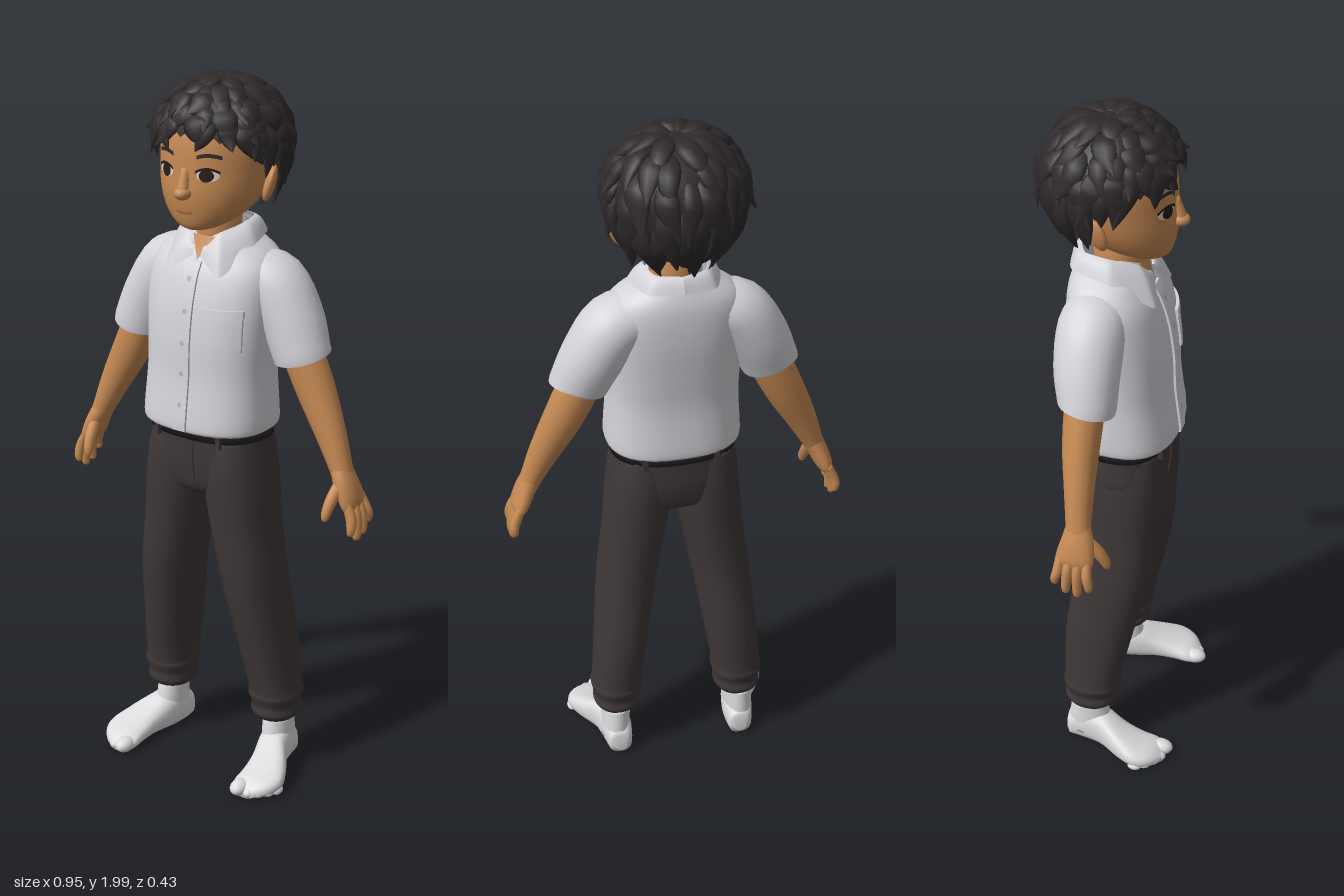
import * as THREE from 'three';

const mat = (name, color, side = THREE.FrontSide) => {
  const m = new THREE.MeshStandardMaterial({ color, side });
  m.name = name;
  return m;
};
const V = (x, y, z) => new THREE.Vector3(x, y, z);

// Catmull-Rom smoothing of rows of numbers
function smooth(rows, sub = 4) {
  const out = [];
  for (let i = 0; i < rows.length - 1; i++) {
    const [a, b, c, d] = [-1, 0, 1, 2].map(k => rows[Math.min(Math.max(i + k, 0), rows.length - 1)]);
    for (let s = 0; s < sub; s++) {
      const t = s / sub;
      out.push(b.map((v, k) => v + 0.5 * t * (c[k] - a[k] + t * (2 * a[k] - 5 * v + 4 * c[k] - d[k] + t * (3 * (v - c[k]) + d[k] - a[k])))));
    }
  }
  out.push(rows[rows.length - 1]);
  return out;
}

// Skin through superellipse rings { c, a, b, p }, with optional end caps
function skin(rings, n, caps = true) {
  const pos = [], idx = [], m = rings.length;
  const pw = (v, p) => Math.sign(v) * Math.abs(v) ** (2 / p);
  for (const { c, a, b, p = 2 } of rings) for (let j = 0; j < n; j++) {
    const t = j / n * Math.PI * 2;
    pos.push(...c.clone().addScaledVector(a, pw(Math.cos(t), p)).addScaledVector(b, pw(Math.sin(t), p)).toArray());
  }
  for (let i = 0; i < m - 1; i++) for (let j = 0; j < n; j++) {
    const k = (j + 1) % n, A = i * n + j, B = i * n + k;
    idx.push(A, B, A + n, B, B + n, A + n);
  }
  if (caps) {
    pos.push(...rings[0].c.toArray(), ...rings[m - 1].c.toArray());
    for (let j = 0; j < n; j++) {
      const k = (j + 1) % n, e = (m - 1) * n;
      idx.push(m * n, k, j, m * n + 1, e + j, e + k);
    }
  }
  const g = new THREE.BufferGeometry();
  g.setAttribute('position', new THREE.Float32BufferAttribute(pos, 3));
  g.setIndex(idx);
  g.computeVertexNormals();
  return g;
}

// Upright body from rows [y, cx, cz, rx, rz, p], bottom to top
const upright = (rows, caps = true, n = 32) => skin(rows.map(([y, x, z, rx, rz, p = 2]) =>
  ({ c: V(x, y, z), a: V(0, 0, rz), b: V(rx, 0, 0), p })), n, caps);

// Limb along rows [x, y, z, r1, r2]; r2 lies along ref
function limb(rows, ref, n = 12, caps = true, sub = 4) {
  const s = smooth(rows, sub), P = s.map(r => V(r[0], r[1], r[2]));
  return skin(s.map((r, i) => {
    const t = P[Math.min(i + 1, s.length - 1)].clone().sub(P[Math.max(i - 1, 0)]).normalize();
    const a = ref.clone().cross(t).normalize();
    return { c: P[i], a: a.clone().multiplyScalar(r[3]), b: t.cross(a).multiplyScalar(r[4]) };
  }), n, caps);
}

// Front z of an upright body at (x, y), used to lay plates on it
const frontOf = rows => (x, y) => {
  let i = 0;
  while (i < rows.length - 2 && rows[i + 1][0] < y) i++;
  const t = THREE.MathUtils.clamp((y - rows[i][0]) / (rows[i + 1][0] - rows[i][0]), 0, 1);
  const [, cx, cz, rx, rz, p = 2] = rows[i].map((v, k) => v + t * (rows[i + 1][k] - v));
  return cz + rz * Math.max(0, 1 - Math.abs((x - cx) / rx) ** p) ** (1 / p);
};
function plate(geo, x, y, front, lift, rule) {
  const p = geo.attributes.position;
  for (let i = 0; i < p.count; i++) {
    let px = p.getX(i), py = p.getY(i);
    if (rule) [px, py] = rule(px, py);
    p.setXYZ(i, px + x, py + y, front(px + x, py + y) + p.getZ(i) + lift);
  }
  geo.computeVertexNormals();
  return geo;
}

export function createModel() {
  const root = new THREE.Group();
  root.name = 'boy';
  const D = THREE.DoubleSide;
  const skinM = mat('skin', 0xc48852), hairM = mat('hair', 0x2e292a, D), shirtM = mat('shirt', 0xd3d3d9, D);
  const pantsM = mat('trousers', 0x3f3738, D), sockM = mat('sock', 0xdcdcde), beltM = mat('belt', 0x231f21);
  const eyeM = mat('iris', 0x2a1a16), whiteM = mat('eyeWhite', 0xd8cfc8), lipM = mat('lips', 0xa3623f), buttonM = mat('button', 0xb4b4bc);
  const add = (name, geo, m) => {
    const o = new THREE.Mesh(geo, m);
    o.name = name;
    root.add(o);
    return o;
  };
  const ball = (name, m, x, y, z, rx, ry, rz) => {
    const o = add(name, new THREE.SphereGeometry(1, 18, 12), m);
    o.position.set(x, y, z);
    o.scale.set(rx, ry, rz);
    return o;
  };

  // Head, neck and nose
  const head = smooth([[1.603, 0, 0.095, 0.03, 0.03], [1.615, 0, 0.08, 0.065, 0.06], [1.65, 0, 0.045, 0.112, 0.105],
    [1.7, 0, 0.015, 0.14, 0.142], [1.76, 0, 0, 0.151, 0.153], [1.84, 0, -0.01, 0.152, 0.155], [1.91, 0, -0.015, 0.125, 0.13], [1.955, 0, -0.015, 0.06, 0.06]]);
  const face = frontOf(head);
  add('head', upright(head), skinM);
  add('neck', upright([[1.5, 0, -0.005, 0.068, 0.07], [1.57, 0, 0, 0.062, 0.066], [1.68, 0, 0, 0.065, 0.07]]), skinM);
  ball('nose', skinM, 0, 1.708, 0.16, 0.023, 0.018, 0.027);
  add('noseBridge', limb([[0, 1.77, 0.145, 0.012, 0.012], [0, 1.71, 0.165, 0.017, 0.015]], V(0, 0, 1)), skinM);

  // Face details
  const disc = (rx, ry) => new THREE.RingGeometry(0.001, 1, 24, 4).scale(rx, ry, 1);
  const arc = (w, h, bend) => plate(new THREE.PlaneGeometry(w, h, 12, 1), 0, 0, () => 0, 0, (x, y) => [x, y - bend * (2 * x / w) ** 2]);
  add('mouth', plate(arc(0.05, 0.006, -0.003), 0, 1.654, face, 0.004), lipM);
  for (const s of [1, -1]) {
    add('eyeWhite', plate(disc(0.027, 0.016), s * 0.064, 1.758, face, 0.003), whiteM);
    add('iris', plate(disc(0.018, 0.016), s * 0.062, 1.758, face, 0.005), eyeM);
    add('lash', plate(arc(0.06, 0.007, 0.01), s * 0.064, 1.776, face, 0.006), eyeM);
    add('brow', plate(arc(0.06, 0.01, 0.006), s * 0.066, 1.81, face, 0.004), hairM);
    const ear = ball('ear', skinM, s * 0.153, 1.72, -0.015, 0.015, 0.05, 0.032);
    ear.rotation.set(-0.15, s * 0.5, -s * 0.2);
  }

  // Hair cap and layered locks sweeping out from the crown
  let seed = 7;
  const rnd = (a = 0, b = 1) => (seed = (seed * 16807) % 2147483647, a + (b - a) * seed / 2147483647);
  const scalp = (th, az, s) => V(Math.sin(th) * Math.sin(az) * 0.176 * s,
    1.825 + Math.cos(th) * (th < Math.PI / 2 ? 0.15 : 0.2) * s, -0.02 + Math.sin(th) * Math.cos(az) * 0.174 * s);
  const hairline = az => 1.4 + 1.1 * ((1 - Math.cos(az)) / 2) ** 1.1;
  const cap = new THREE.SphereGeometry(1, 40, 20), cp = cap.attributes.position, uv = cap.attributes.uv;
  for (let i = 0; i < cp.count; i++) {
    const az = uv.getX(i) * Math.PI * 2;
    cp.setXYZ(i, ...scalp((1 - uv.getY(i)) * hairline(az), az, 1).toArray());
  }
  cap.computeVertexNormals();
  add('hairCap', cap, hairM);
  const layers = [[0.05, 0.4, 9], [0.2, 0.58, 14], [0.38, 0.78, 19], [0.55, 0.95, 22], [0.68, 1.1, 25]];
  layers.forEach(([from, to, count], k) => {
    for (let i = 0; i < count; i++) {
      const az = (i + rnd(0, 0.8)) / count * Math.PI * 2, H = hairline(az), twist = rnd(-0.28, 0.28);
      const tip = rnd(1.05, k < 2 ? 1.13 : 1.2), end = to * rnd(0.93, 1.05), w = rnd(0.026, 0.036);
      const rows = [[0, 0.95, 0.5], [0.35, 1.03, 1], [0.7, 1.05, 0.75], [1, tip, 0.06]].map(([t, s, f]) =>
        [...scalp(H * (from + (end - from) * t), az + twist * t * t, s).toArray(), w * f, w * f * 0.45]);
      add('hairLock', limb(rows, scalp(H * (from + to) / 2, az, 1).sub(V(0, 1.825, -0.02)).normalize(), 8, true, 3), hairM);
    }
  });

  // Shirt body, placket, buttons and pocket
  const shirt = smooth([[1.052, 0, 0.03, 0.182, 0.142, 2.5], [1.075, 0, 0.03, 0.188, 0.146, 2.5], [1.2, 0, 0.026, 0.181, 0.134, 2.5],
    [1.3, 0, 0.02, 0.184, 0.135, 2.5], [1.4, 0, 0.008, 0.19, 0.132, 2.5], [1.48, 0, -0.005, 0.188, 0.12, 2.5],
    [1.53, 0, -0.017, 0.163, 0.102, 2.4], [1.57, 0, -0.02, 0.105, 0.085, 2.2], [1.595, 0, -0.02, 0.07, 0.075, 2]]);
  const chest = frontOf(shirt);
  add('shirtBody', upright(shirt, false, 40), shirtM);
  add('placket', plate(new THREE.BoxGeometry(0.042, 0.455, 0.008, 4, 30, 1), -0.005, 1.285, chest, 0.002), shirtM);
  for (let i = 0; i < 5; i++) add('button', plate(disc(0.007, 0.007), -0.005, 1.13 + i * 0.085, chest, 0.008), buttonM);
  add('pocket', plate(new THREE.BoxGeometry(0.105, 0.11, 0.008, 8, 8, 1), 0.1, 1.345, chest, 0.002,
    (x, y) => [x, y < -0.01 ? y - 0.02 * (1 - Math.abs(x) / 0.0525) : y]), shirtM);
  add('pocketFlap', plate(new THREE.BoxGeometry(0.109, 0.02, 0.008, 8, 1, 1), 0.1, 1.392, chest, 0.005), shirtM);
  add('openNeck', plate(new THREE.PlaneGeometry(0.07, 0.06, 6, 6), 0, 1.545, chest, 0.005, (x, y) => [x * (y + 0.03) / 0.06, y]), skinM);

  for (const s of [1, -1]) {
    // Collar half, from neck edge to folded edge
    const edge = pts => new THREE.CatmullRomCurve3(pts.map(p => V(p[0] * s, p[1], p[2])), false, 'catmullrom', 0.3);
    const top = edge([[0.018, 1.55, 0.083], [0.05, 1.585, 0.066], [0.082, 1.608, 0], [0.065, 1.61, -0.075], [0, 1.61, -0.098]]);
    const low = edge([[0.012, 1.527, 0.1], [0.085, 1.484, 0.119], [0.125, 1.557, 0.01], [0.09, 1.568, -0.102], [0, 1.572, -0.125]]);
    const collar = new THREE.PlaneGeometry(1, 1, 32, 4), p = collar.attributes.position;
    for (let i = 0; i < p.count; i++) {
      const u = p.getX(i) + 0.5, v = p.getY(i) + 0.5, q = low.getPoint(u).lerp(top.getPoint(u), v);
      p.setXYZ(i, q.x, q.y + 0.012 * Math.sin(v * Math.PI), q.z);
    }
    collar.computeVertexNormals();
    add('collar', collar, shirtM);

    // Sleeve and arm
    const Z = V(0, 0, 1);
    add('sleeve', limb([[s * 0.09, 1.475, -0.02, 0.065, 0.08], [s * 0.165, 1.45, -0.025, 0.085, 0.09], [s * 0.222, 1.365, -0.022, 0.085, 0.088],
      [s * 0.258, 1.285, -0.012, 0.08, 0.078], [s * 0.264, 1.268, -0.012, 0.079, 0.076]], Z, 24, false), shirtM);
    add('arm', limb([[s * 0.2, 1.4, -0.02, 0.05, 0.05], [s * 0.262, 1.27, -0.018, 0.057, 0.053], [s * 0.31, 1.17, -0.015, 0.054, 0.049],
      [s * 0.36, 1.07, -0.006, 0.043, 0.04], [s * 0.398, 0.985, 0.002, 0.031, 0.034], [s * 0.408, 0.96, 0.003, 0.029, 0.035]], Z, 18), skinM);

    // Hand with four fingers and a thumb
    add('palm', limb([[s * 0.398, 0.985, 0.002, 0.028, 0.033], [s * 0.417, 0.945, 0.005, 0.028, 0.045], [s * 0.436, 0.9, 0.002, 0.024, 0.052],
      [s * 0.444, 0.876, 0, 0.012, 0.045]], Z, 16), skinM);
    [[0.04, 0.815], [0.013, 0.793], [-0.014, 0.8], [-0.04, 0.825]].forEach(([z, y]) =>
      add('finger', limb([[s * 0.436, 0.905, z * 0.9, 0.013, 0.013], [s * 0.455, 0.865, z, 0.015, 0.0135], [s * 0.46, y + 0.02, z * 1.15, 0.0125, 0.012],
        [s * 0.457, y + 0.004, z * 1.15, 0.009, 0.009], [s * 0.456, y, z * 1.15, 0.002, 0.002]], Z, 10), skinM));
    add('thumb', limb([[s * 0.41, 0.95, 0.025, 0.016, 0.016], [s * 0.405, 0.915, 0.055, 0.017, 0.017], [s * 0.4, 0.88, 0.075, 0.014, 0.014],
      [s * 0.398, 0.86, 0.08, 0.009, 0.009], [s * 0.398, 0.855, 0.081, 0.002, 0.002]], V(1, 0, 0), 10), skinM);

    // Trouser leg, bunched at the cuff
    add('trouserLeg', upright(smooth([[0.158, 0.183, -0.032, 0.06, 0.066], [0.175, 0.183, -0.032, 0.069, 0.077], [0.2, 0.182, -0.031, 0.066, 0.074],
      [0.23, 0.182, -0.03, 0.075, 0.083], [0.26, 0.18, -0.028, 0.072, 0.082], [0.4, 0.163, -0.014, 0.077, 0.097], [0.6, 0.137, 0.016, 0.084, 0.107],
      [0.75, 0.113, 0.022, 0.088, 0.113], [0.86, 0.1, 0.024, 0.092, 0.119], [0.95, 0.093, 0.024, 0.088, 0.12], [1.03, 0.085, 0.024, 0.08, 0.11]])
      .map(r => [r[0], r[1] * s, r[2], r[3], r[4], 2.2])), pantsM);

    // Ankle, sock and toes
    add('ankle', upright([[0.12, s * 0.186, -0.038, 0.037, 0.046], [0.22, s * 0.184, -0.035, 0.04, 0.048]]), skinM);
    add('sockAnkle', upright(smooth([[0.04, s * 0.189, -0.035, 0.044, 0.066], [0.1, s * 0.188, -0.036, 0.042, 0.06], [0.15, s * 0.186, -0.038, 0.042, 0.052]])), sockM);
    const foot = smooth([[-0.106, 0.184, 0.014, 0.03], [-0.095, 0.185, 0.034, 0.08], [-0.045, 0.188, 0.045, 0.115], [0.01, 0.199, 0.048, 0.112],
      [0.07, 0.225, 0.058, 0.083], [0.125, 0.238, 0.065, 0.06], [0.17, 0.23, 0.056, 0.045], [0.2, 0.218, 0.03, 0.026]]);
    add('sockFoot', skin(foot.map(([z, x, w, h]) => ({ c: V(s * x, Math.max(h / 2, 0.008) + (z < -0.1 ? 0.015 : 0), z), a: V(w, 0, 0), b: V(0, h / 2, 0), p: 2.5 })), 24), sockM);
    [[0.203, 0.185, 0.026], [0.235, 0.183, 0.018], [0.258, 0.168, 0.017], [0.277, 0.15, 0.016], [0.291, 0.128, 0.015]].forEach(([x, z, r]) =>
      ball('toe', sockM, s * x, r * 0.85, z, r, r * 0.85, r * 1.4));
  }

  // Trouser seat, belt, loops and fly
  const seat = smooth([[0.845, 0, 0.024, 0.06, 0.07, 2.4], [0.875, 0, 0.024, 0.15, 0.108, 2.4], [0.94, 0, 0.024, 0.182, 0.122, 2.4],
    [1.0, 0, 0.025, 0.176, 0.123, 2.4], [1.08, 0, 0.026, 0.168, 0.122, 2.4]]);
  add('trouserSeat', upright(seat), pantsM);
  add('fly', plate(new THREE.BoxGeometry(0.03, 0.12, 0.006, 2, 8, 1), 0.005, 0.965, frontOf(seat), 0.001), pantsM);
  add('belt', upright([[1.026, 0, 0.026, 0.176, 0.128, 2.4], [1.062, 0, 0.026, 0.174, 0.128, 2.4]], true, 40), beltM);
  for (const x of [-0.1, 0.1]) for (const z of [0.145, -0.093]) {
    const loop = add('beltLoop', new THREE.BoxGeometry(0.014, 0.05, 0.012), pantsM);
    loop.position.set(x, 1.04, z);
  }
  return root;
}
